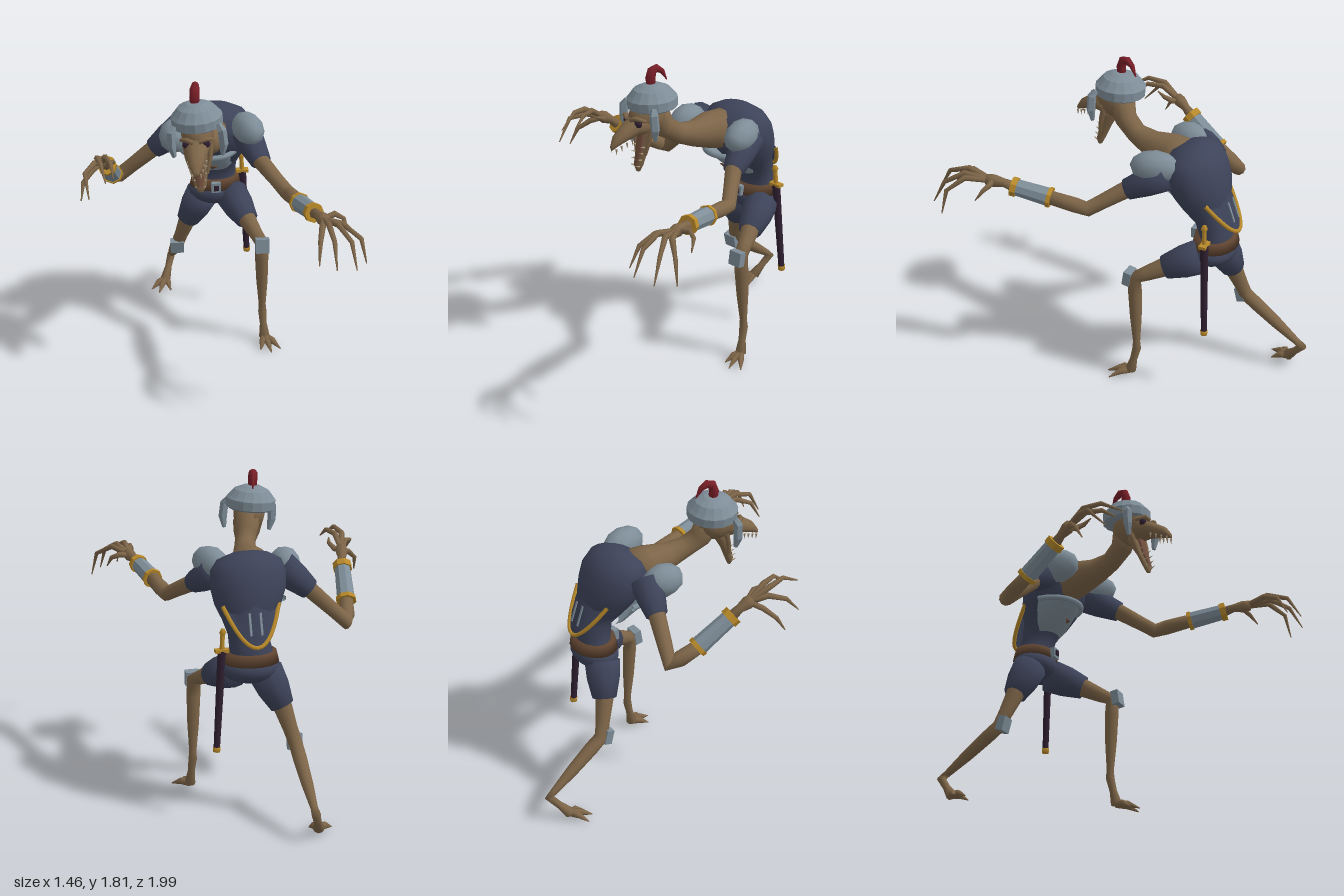
import * as THREE from 'three';

const V = (a) => new THREE.Vector3(a[0], a[1], a[2]);
const paint = (name, color, extra = {}) => {
  const m = new THREE.MeshStandardMaterial({ color, ...extra });
  m.name = name;
  return m;
};

export function createModel() {
  const root = new THREE.Group();
  const skin = paint('skin', 0x7d6548);
  const cloth = paint('navyCloth', 0x3d4359);
  const clothThin = cloth;
  clothThin.side = THREE.DoubleSide;
  const steel = paint('steel', 0x7e8d98, { side: THREE.DoubleSide });
  const gold = paint('gold', 0xb98a2a);
  const leather = paint('leather', 0x5e4330);
  const red = paint('plumeRed', 0x7a1f28);
  const dark = paint('darkPurple', 0x2f1f31);
  const mouth = paint('mouth', 0x74503f);
  const bone = paint('bone', 0xa8977a);

  const add = (name, geo, mat, parent = root, pos = [0, 0, 0]) => {
    const m = new THREE.Mesh(geo, mat);
    m.name = name;
    m.position.set(...pos);
    parent.add(m);
    return m;
  };

  // Closed skin over a list of rings {c, u, v}, where u x v points along the part
  const skinRings = (rings, n, flat) => {
    const pos = [], idx = [];
    for (const { c, u, v } of rings)
      for (let j = 0; j < n; j++) {
        const a = (j / n) * Math.PI * 2;
        pos.push(...c.clone().addScaledVector(u, Math.cos(a)).addScaledVector(v, Math.sin(a)).toArray());
      }
    const last = rings.length - 1, s = pos.length / 3;
    pos.push(...rings[0].c.toArray(), ...rings[last].c.toArray());
    for (let j = 0; j < n; j++) {
      const k = (j + 1) % n;
      for (let i = 0; i < last; i++) {
        const a = i * n + j, b = i * n + k;
        idx.push(a, b, b + n, a, b + n, a + n);
      }
      idx.push(s, k, j, s + 1, last * n + j, last * n + k);
    }
    let g = new THREE.BufferGeometry();
    g.setAttribute('position', new THREE.Float32BufferAttribute(pos, 3));
    g.setIndex(idx);
    if (flat) g = g.toNonIndexed();
    g.computeVertexNormals();
    return g;
  };

  // Round limb through [x, y, z, radius] points
  const limb = (name, pts, mat, n = 10, parent = root, flat = false) => {
    const p = pts.map(V);
    const axis = p[p.length - 1].clone().sub(p[0]).normalize();
    const ref = Math.abs(axis.x) < 0.6 ? new THREE.Vector3(1, 0, 0) : new THREE.Vector3(0, 0, 1);
    const rings = p.map((c, i) => {
      const t = p[Math.min(i + 1, p.length - 1)].clone().sub(p[Math.max(i - 1, 0)]).normalize();
      const u = ref.clone().addScaledVector(t, -ref.dot(t)).normalize();
      const v = t.clone().cross(u);
      return { c, u: u.multiplyScalar(pts[i][3]), v: v.multiplyScalar(pts[i][3]) };
    });
    return add(name, skinRings(rings, n, flat), mat, parent);
  };

  // Elliptical sections [cx, cy, cz, rx, r2], stacked upward or forward
  const stack = (name, secs, mat, up, n = 18, parent = root) => add(name, skinRings(secs.map((s) => ({
    c: V(s),
    u: new THREE.Vector3(s[3], 0, 0),
    v: up ? new THREE.Vector3(0, 0, -s[4]) : new THREE.Vector3(0, s[4], 0),
  })), n), mat, parent);

  const ball = (name, pos, r, mat, parent = root, detail = 12) => {
    const m = add(name, new THREE.SphereGeometry(1, detail, Math.ceil(detail * 0.7)), mat, parent, pos);
    m.scale.set(...r);
    return m;
  };

  // Hunched torso and pelvis
  stack('torso', [
    [0.09, 0.88, -0.5, 0.14, 0.11], [0.09, 0.95, -0.51, 0.12, 0.09], [0.105, 1.05, -0.49, 0.11, 0.1],
    [0.095, 1.12, -0.44, 0.14, 0.13], [0.085, 1.2, -0.41, 0.185, 0.16], [0.075, 1.28, -0.38, 0.21, 0.18],
    [0.07, 1.36, -0.365, 0.21, 0.17], [0.065, 1.42, -0.365, 0.18, 0.13], [0.06, 1.455, -0.37, 0.11, 0.075],
    [0.06, 1.467, -0.37, 0.03, 0.02]], cloth, true);
  ball('pelvis', [0.09, 0.86, -0.5], [0.165, 0.085, 0.125], cloth, root, 18);

  // Belt and buckle
  stack('belt', [[0.09, 0.895, -0.505, 0.155, 0.127], [0.09, 0.955, -0.505, 0.14, 0.115]], leather, true);
  add('buckle', new THREE.BoxGeometry(0.055, 0.06, 0.03), steel, root, [0.08, 0.925, -0.375]);
  add('buckleCentre', new THREE.BoxGeometry(0.028, 0.032, 0.008), dark, root, [0.08, 0.925, -0.357]);

  // Breastplate: open half shell with a rolled upper rim
  const plateRows = [[1.045, 0.08, 0.085, -0.43, 0.07], [1.08, 0.065, 0.12, -0.42, 0.105],
    [1.14, 0.045, 0.145, -0.4, 0.145], [1.21, 0.035, 0.16, -0.38, 0.18]];
  const shell = new THREE.PlaneGeometry(1, 1, 12, plateRows.length - 1);
  const sp = shell.attributes.position;
  const rimPts = [];
  for (let i = 0; i < sp.count; i++) {
    const [y, cx, rx, cz, rz] = plateRows[plateRows.length - 1 - Math.floor(i / 13)];
    const a = Math.PI * (1 - (i % 13) / 12);
    sp.setXYZ(i, cx + rx * Math.cos(a), y, cz + rz * Math.sin(a));
    if (i < 13) rimPts.push(new THREE.Vector3(sp.getX(i), y - 0.015, sp.getZ(i)));
  }
  shell.computeVertexNormals();
  add('breastplate', shell, steel);
  add('breastplateRim', new THREE.TubeGeometry(new THREE.CatmullRomCurve3(rimPts), 20, 0.018, 6), steel);
  const emblem = add('breastplateBoss', new THREE.CylinderGeometry(0.03, 0.03, 0.008, 3), leather, root, [0.05, 1.105, -0.276]);
  emblem.rotation.x = Math.PI / 2 + 0.5;
  emblem.scale.z = 0.5;

  // Flared back flap with gold hem
  const flap = new THREE.PlaneGeometry(2, 1, 10, 2);
  const fp = flap.attributes.position;
  const hem = [];
  for (let i = 0; i < fp.count; i++) {
    const s = fp.getX(i), d = 0.5 - fp.getY(i), q = s * s;
    const low = [0.09 + 0.155 * s, 1.01 + 0.2 * q, -0.64 + 0.14 * q];
    const top = [0.085 + 0.15 * s, 1.25, -0.555 + 0.12 * q];
    const c = V(top).lerp(V(low), d);
    fp.setXYZ(i, c.x, c.y, c.z);
    if (d > 0.99) hem.push(c);
  }
  flap.computeVertexNormals();
  add('backFlap', flap, clothThin);
  add('flapHem', new THREE.TubeGeometry(new THREE.CatmullRomCurve3(hem), 24, 0.012, 6), gold);
  for (const x of [0.06, 0.12]) {
    const bar = add('flapStripe', new THREE.BoxGeometry(0.012, 0.12, 0.006), steel, root, [x, 1.13, -0.603]);
    bar.rotation.x = 0.34;
  }

  // Neck
  limb('neck', [[0.03, 1.33, -0.3, 0.12], [0.01, 1.35, -0.18, 0.105], [0, 1.365, -0.06, 0.075],
    [-0.02, 1.395, 0.04, 0.058], [-0.05, 1.45, 0.12, 0.062], [-0.075, 1.54, 0.16, 0.075]], skin, 14);

  // Head, turned and tilted slightly
  const head = new THREE.Group();
  head.name = 'head';
  head.position.set(-0.085, 1.55, 0.175);
  head.rotation.set(0, -0.17, 0.08);
  root.add(head);
  ball('skull', [0, -0.01, 0.03], [0.09, 0.105, 0.12], skin, head, 14);
  stack('upperJaw', [[0, -0.04, 0.06, 0.085, 0.07], [0, -0.05, 0.14, 0.068, 0.055], [0, -0.08, 0.21, 0.05, 0.042],
    [0, -0.105, 0.26, 0.036, 0.032], [0, -0.135, 0.29, 0.014, 0.016]], skin, false, 10, head);
  stack('lowerJaw', [[0, -0.315, 0.125, 0.014, 0.01], [0, -0.28, 0.12, 0.035, 0.02],
    [0, -0.2, 0.09, 0.046, 0.022], [0, -0.11, 0.05, 0.06, 0.035], [0, -0.06, 0.04, 0.06, 0.04]], skin, true, 10, head);
  stack('tongue', [[0, -0.28, 0.138, 0.015, 0.008], [0, -0.2, 0.112, 0.028, 0.012],
    [0, -0.1, 0.09, 0.035, 0.012]], mouth, true, 8, head);
  for (const s of [-1, 1]) {
    ball('eye', [s * 0.05, -0.025, 0.14], [0.026, 0.024, 0.02], dark, head, 10);
    limb('brow', [[s * 0.015, -0.005, 0.165, 0.012], [s * 0.05, 0.008, 0.155, 0.014], [s * 0.085, -0.01, 0.11, 0.01]], skin, 6, head);
    limb('jawCord', [[s * 0.07, -0.06, 0.06, 0.016], [s * 0.062, -0.13, 0.08, 0.014], [s * 0.04, -0.22, 0.1, 0.01]], skin, 6, head);
    for (let i = 0; i < 4; i++) {
      const tooth = add('upperTooth', new THREE.ConeGeometry(0.007, 0.035, 5), bone, head, [s * (0.05 - i * 0.009), -0.12 - i * 0.013, 0.185 + i * 0.03]);
      tooth.rotation.x = Math.PI;
      const low = add('lowerTooth', new THREE.ConeGeometry(0.006, 0.03, 5), bone, head, [s * (0.04 - i * 0.005), -0.17 - i * 0.036, 0.115 + i * 0.01]);
      low.rotation.x = 1.2;
    }
    limb('cheekPlate', [[s * 0.12, 0.06, 0.08, 0.018], [s * 0.138, 0.03, 0.095, 0.026], [s * 0.142, -0.05, 0.095, 0.026],
      [s * 0.13, -0.115, 0.09, 0.012]], steel, 5, head, true);
  }

  // Helmet with plume
  const dome = new THREE.LatheGeometry([[0, 0.035], [0.125, 0.025], [0.14, 0.035], [0.142, 0.085], [0.128, 0.1],
    [0.1, 0.135], [0.05, 0.158], [0, 0.165]].map(([x, y]) => new THREE.Vector2(x, y)), 16).toNonIndexed();
  dome.computeVertexNormals();
  add('helmet', dome, steel, head);
  limb('plume', [[-0.1, 1.69, 0.17, 0.024], [-0.102, 1.74, 0.175, 0.028], [-0.1, 1.78, 0.163, 0.026],
    [-0.094, 1.79, 0.135, 0.022], [-0.085, 1.765, 0.1, 0.015], [-0.075, 1.71, 0.072, 0.003]], red, 8);

  // Shoulder pads
  for (const [pos, r, turn] of [[[0.24, 1.375, -0.2], [0.088, 0.092, 0.14], 0.25], [[-0.18, 1.345, -0.215], [0.088, 0.095, 0.12], -0.1]]) {
    const pad = add('shoulderPad', new THREE.IcosahedronGeometry(1, 1), steel, root, pos);
    pad.scale.set(...r);
    pad.rotation.y = turn;
  }

  // Arms: sleeve, forearm, bracer with gold cuffs, and fingers
  const mix = (a, b, t, r) => [...V(a).lerp(V(b), t).toArray(), r];
  const arm = ({ shoulder, cuff, elbow, b0, b1, wrist, palm, fingers }) => {
    limb('sleeve', [[...shoulder, 0.09], mix(shoulder, cuff, 0.5, 0.08), [...cuff, 0.06]], cloth, 12);
    limb('upperArm', [mix(shoulder, cuff, 0.8, 0.045), [...cuff, 0.048], mix(cuff, elbow, 0.6, 0.042),
      [...elbow, 0.042], mix(elbow, b0, 0.35, 0.044), [...b0, 0.04]], skin, 10);
    limb('bracer', [[...b0, 0.052], [...b1, 0.046]], steel, 8, root, true);
    limb('bracerCuff', [mix(b0, b1, -0.02, 0.058), mix(b0, b1, 0.08, 0.058)], gold, 8, root, true);
    limb('bracerCuff', [mix(b0, b1, 0.89, 0.055), mix(b0, b1, 1.04, 0.055)], gold, 8, root, true);
    limb('hand', [[...b1, 0.03], [...wrist, 0.024], mix(wrist, palm, 0.6, 0.036), [...palm, 0.03]], skin, 8);
    for (const f of fingers)
      limb('finger', [mix(wrist, palm, 0.7, 0.017), ...f.map((p, i) => [...p, [0.017, 0.013, 0.003][i]])], skin, 6);
  };
  arm({
    shoulder: [0.23, 1.34, -0.27], cuff: [0.3, 1.23, -0.06], elbow: [0.42, 1.12, 0.12],
    b0: [0.455, 1.155, 0.33], b1: [0.5, 1.195, 0.54], wrist: [0.51, 1.21, 0.59], palm: [0.535, 1.22, 0.69],
    fingers: [[[0.61, 1.245, 0.78], [0.695, 1.19, 0.85], [0.725, 1.055, 0.87]],
      [[0.58, 1.255, 0.8], [0.635, 1.2, 0.9], [0.655, 1.07, 0.965]],
      [[0.53, 1.26, 0.8], [0.54, 1.22, 0.92], [0.545, 1.09, 0.995]],
      [[0.5, 1.24, 0.79], [0.475, 1.2, 0.88], [0.462, 1.09, 0.94]],
      [[0.595, 1.23, 0.63], [0.64, 1.21, 0.65], [0.66, 1.15, 0.69]]],
  });
  arm({
    shoulder: [-0.14, 1.35, -0.3], cuff: [-0.29, 1.22, -0.33], elbow: [-0.495, 1.03, -0.385],
    b0: [-0.535, 1.11, -0.24], b1: [-0.575, 1.26, -0.04], wrist: [-0.585, 1.295, 0], palm: [-0.605, 1.34, 0.07],
    fingers: [[[-0.66, 1.3, 0.1], [-0.715, 1.25, 0.15], [-0.73, 1.165, 0.2]],
      [[-0.65, 1.36, 0.14], [-0.705, 1.34, 0.22], [-0.69, 1.23, 0.32]],
      [[-0.635, 1.4, 0.16], [-0.62, 1.415, 0.26], [-0.6, 1.35, 0.38]],
      [[-0.59, 1.4, 0.15], [-0.565, 1.405, 0.24], [-0.555, 1.35, 0.32]],
      [[-0.565, 1.33, 0.08], [-0.545, 1.355, 0.12], [-0.56, 1.375, 0.17]]],
  });

  // Legs: shorts, bent leg, knee plate, clawed foot
  const leg = ({ hip, hem, knee, ankle, heel, toes, plate, tilt }) => {
    limb('shorts', [[...hip, 0.1], mix(hip, hem, 0.5, 0.092), [...hem, 0.068]], cloth, 12);
    limb('leg', [mix(hip, hem, 0.85, 0.052), [...hem, 0.054], mix(hem, knee, 0.6, 0.042), [...knee, 0.04],
      mix(knee, ankle, 0.2, 0.04), mix(knee, ankle, 0.55, 0.034), mix(knee, ankle, 0.9, 0.021), [...ankle, 0.025],
      mix(ankle, heel, 0.5, 0.021), [...heel, 0.032]], skin, 10);
    const cap = add('kneePlate', new THREE.BoxGeometry(0.08, 0.085, 0.045), steel, root, plate);
    cap.rotation.x = tilt;
    for (const t of toes) {
      const mid = mix(heel, t, 0.5, 0.02);
      mid[1] = 0.035;
      limb('toe', [[...heel, 0.022], mid, [...t, 0.003]], skin, 6);
    }
  };
  leg({
    hip: [0.18, 0.84, -0.46], hem: [0.255, 0.755, -0.27], knee: [0.32, 0.675, -0.115], ankle: [0.335, 0.2, -0.135],
    heel: [0.345, 0.04, -0.1], toes: [[0.31, 0.005, 0], [0.37, 0.005, 0.035], [0.43, 0.005, 0]],
    plate: [0.32, 0.675, -0.08], tilt: -0.15,
  });
  leg({
    hip: [0.01, 0.83, -0.5], hem: [-0.075, 0.64, -0.545], knee: [-0.135, 0.43, -0.61], ankle: [-0.143, 0.165, -0.97],
    heel: [-0.19, 0.04, -0.87], toes: [[-0.285, 0.005, -0.8], [-0.24, 0.005, -0.75], [-0.165, 0.005, -0.775]],
    plate: [-0.137, 0.435, -0.58], tilt: 0.25,
  });

  // Sheathed sword on the left hip
  const hilt = [0.245, 1.08, -0.5], tip = [0.292, 0.4, -0.535];
  limb('swordGrip', [mix(hilt, tip, 0.01, 0.013), mix(hilt, tip, 0.17, 0.013)], gold, 8);
  limb('pommel', [mix(hilt, tip, -0.01, 0.01), mix(hilt, tip, 0.02, 0.02), mix(hilt, tip, 0.05, 0.01)], gold, 8);
  limb('scabbard', [mix(hilt, tip, 0.17, 0.024), mix(hilt, tip, 0.97, 0.018)], dark, 8);
  limb('scabbardTip', [mix(hilt, tip, 0.96, 0.022), mix(hilt, tip, 1, 0.02)], gold, 8);
  add('swordGuard', new THREE.BoxGeometry(0.075, 0.018, 0.04), gold, root, [0.253, 0.967, -0.506]);

  return root;
}
